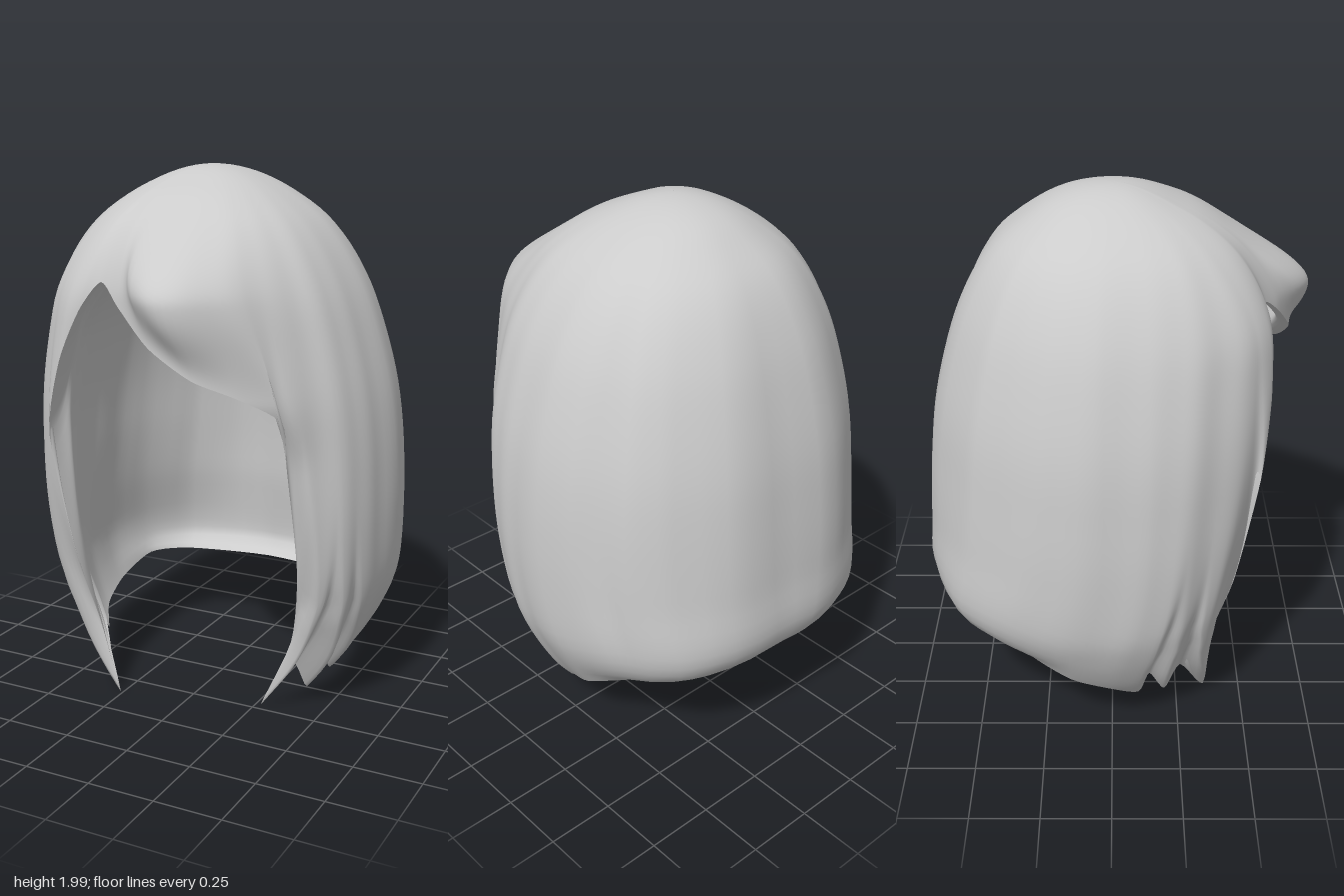
import * as THREE from 'three';
import { mergeVertices } from 'three/addons/utils/BufferGeometryUtils.js';

// Body profile: height, half width, back z, front z
const PROFILE = [
  [2, 0, 0, 0], [1.95, 0.2, -0.22, 0.21], [1.9, 0.29, -0.3, 0.32],
  [1.8, 0.415, -0.42, 0.45], [1.6, 0.545, -0.535, 0.53], [1.4, 0.615, -0.6, 0.54],
  [1.2, 0.66, -0.645, 0.54], [1, 0.68, -0.67, 0.53], [0.75, 0.685, -0.695, 0.5],
  [0.53, 0.665, -0.718, 0.45], [0.47, 0.65, -0.695, 0.43], [0.4, 0.62, -0.62, 0.42],
  [0.34, 0.59, -0.46, 0.4], [0.2, 0.5, -0.35, 0.37], [0, 0.32, -0.2, 0.35],
];

// Hem loop: angle around the head (0 = front, 90 = +x), then x, y, z
const HEM = [
  // fringe, from the parting to the +x temple
  [-20, -0.2, 1.62, 0.53], [-12, -0.1, 1.55, 0.59], [0, 0.05, 1.43, 0.65],
  [12, 0.2, 1.33, 0.63], [24, 0.33, 1.27, 0.56], [34, 0.45, 1.18, 0.46],
  // +x front lock and its tips
  [40, 0.45, 1, 0.41], [45, 0.45, 0.6, 0.31], [48, 0.4, 0.3, 0.24], [51, 0.27, 0.01, 0.22],
  [57, 0.39, 0.2, 0.2], [60, 0.42, 0.08, 0.13], [66, 0.47, 0.2, 0.1], [70, 0.48, 0.14, 0.05],
  // sides and back
  [80, 0.52, 0.2, -0.03], [95, 0.55, 0.26, -0.15], [115, 0.5, 0.33, -0.3], [140, 0.36, 0.34, -0.4],
  [180, 0, 0.35, -0.44], [220, -0.36, 0.34, -0.4], [245, -0.5, 0.33, -0.3], [265, -0.55, 0.26, -0.15],
  // -x front lock and its tips
  [280, -0.53, 0.2, 0], [290, -0.47, 0.14, 0.1], [295, -0.46, 0.22, 0.14], [299, -0.4, 0.1, 0.2],
  [304, -0.38, 0.2, 0.26], [308, -0.26, 0.01, 0.36], [312, -0.34, 0.3, 0.37], [316, -0.39, 0.6, 0.45],
  // -x opening edge back up to the parting
  [322, -0.44, 1.05, 0.52], [330, -0.37, 1.33, 0.55], [336, -0.28, 1.52, 0.55],
];

const COLUMNS = HEM.length * 5;
const ROWS = 48;
const { smoothstep, degToRad, lerp } = THREE.MathUtils;

const hemCurve = new THREE.CatmullRomCurve3(
  HEM.map(([, x, y, z]) => new THREE.Vector3(x, y, z)), true, 'catmullrom', 0.35);

const profile = new THREE.CubicInterpolant(
  PROFILE.map(([y]) => Math.sqrt(2 - y)), PROFILE.flatMap((row) => row.slice(1)), 3);

const signedPow = (value, power) => Math.sign(value) * Math.abs(value) ** power;
const angleFrom = (angle, centre) => ((angle - centre + 540) % 360) - 180;
const bump = (angle, centre, width) => Math.exp(-((angleFrom(angle, centre) / width) ** 2));

// Point on the hair body at an angle and a height
function bodyPoint(angle, y) {
  const q = Math.sqrt(Math.max(0, 2 - y));
  const [width, back, front] = profile.evaluate(q);
  const a = degToRad(angle);
  const s = Math.sin(a), c = Math.cos(a);
  const power = c > 0 ? 0.84 : 0.94;

  // Strands: soft waves, the parting and a few deep folds
  const amount = smoothstep(q, 0.1, 0.8);
  const strands = 0.007 * Math.sin(11 * a + 1 + q) + 0.004 * Math.sin(23 * a + 2.5 * q)
    - 0.035 * bump(angle, 176, 5) - 0.025 * bump(angle, 232, 4) - 0.025 * bump(angle, 118, 4)
    - 0.03 * bump(angle, -20, 6) + 0.02 * bump(angle, 196, 12);
  const scale = 1 + amount * strands;

  // Rounded sweep of the fringe, and the fuller -x front lock
  const rise = (1 - smoothstep(y, 1.58, 1.86)) * smoothstep(y, 1, 1.25);
  const sweep = 0.2 * rise * bump(angle, 9, angleFrom(angle, 9) < 0 ? 18 : 27);
  const lock = 0.06 * smoothstep(q, 0.4, 0.7) * bump(angle, -40, 18);

  return new THREE.Vector3(
    width * signedPow(s, power) * scale - 0.04 * Math.max(0, 1 - q) + 0.2 * s * sweep,
    y,
    (c > 0 ? front : -back) * signedPow(c, power) * scale + sweep + lock);
}

// Sheet of hair falling from the crown to the hem; the inner sheet is inset
function hairSheet(inner) {
  const positions = [], index = [];
  for (let i = 0; i < COLUMNS; i++) {
    const u = (i / COLUMNS) * HEM.length;
    const k = Math.floor(u);
    const nextAngle = k + 1 < HEM.length ? HEM[k + 1][0] : 340;
    const angle = lerp(HEM[k][0], nextAngle, u - k);
    const hem = hemCurve.getPoint(i / COLUMNS);
    hem.y = Math.max(0, hem.y);
    const offset = hem.clone().sub(bodyPoint(angle, hem.y));
    const backness = (1 - Math.cos(degToRad(angle))) / 2;
    // Height over which the sheet bends in to meet its hem, tighter under the fringe
    const reach = lerp(0.32, 0.14, bump(angle, 8, 24));

    for (let j = 0; j <= ROWS; j++) {
      const v = 1 - (1 - j / ROWS) ** 1.3;
      const y = 2 - (2 - hem.y) * v * v;
      const p = bodyPoint(angle, y).addScaledVector(offset, Math.exp(-(((y - hem.y) / reach) ** 2)));
      if (inner) {
        p.x *= 1 - (1 - v ** 8) * lerp(0.1, 0.45, backness);
        p.z *= 1 - (1 - v ** 40) * lerp(0.1, 0.32, backness);
        p.y -= 0.25 * (1 - v * v) ** 1.5;
      }
      positions.push(p.x, p.y, p.z);

      if (j < ROWS) {
        const a = i * (ROWS + 1) + j;
        const b = ((i + 1) % COLUMNS) * (ROWS + 1) + j;
        if (inner) index.push(a, b, a + 1, b, b + 1, a + 1);
        else index.push(a, a + 1, b, b, a + 1, b + 1);
      }
    }
  }
  const geometry = new THREE.BufferGeometry();
  geometry.setAttribute('position', new THREE.Float32BufferAttribute(positions, 3));
  geometry.setIndex(index);
  const merged = mergeVertices(geometry, 1e-4);
  merged.computeVertexNormals();
  return merged;
}

export function createModel() {
  const group = new THREE.Group();
  group.name = 'bobHair';
  const material = new THREE.MeshStandardMaterial({ color: 0xcccccc, side: THREE.DoubleSide });
  for (const [name, inner] of [['outerHair', false], ['innerHair', true]]) {
    const mesh = new THREE.Mesh(hairSheet(inner), material);
    mesh.name = name;
    group.add(mesh);
  }
  return group;
}
